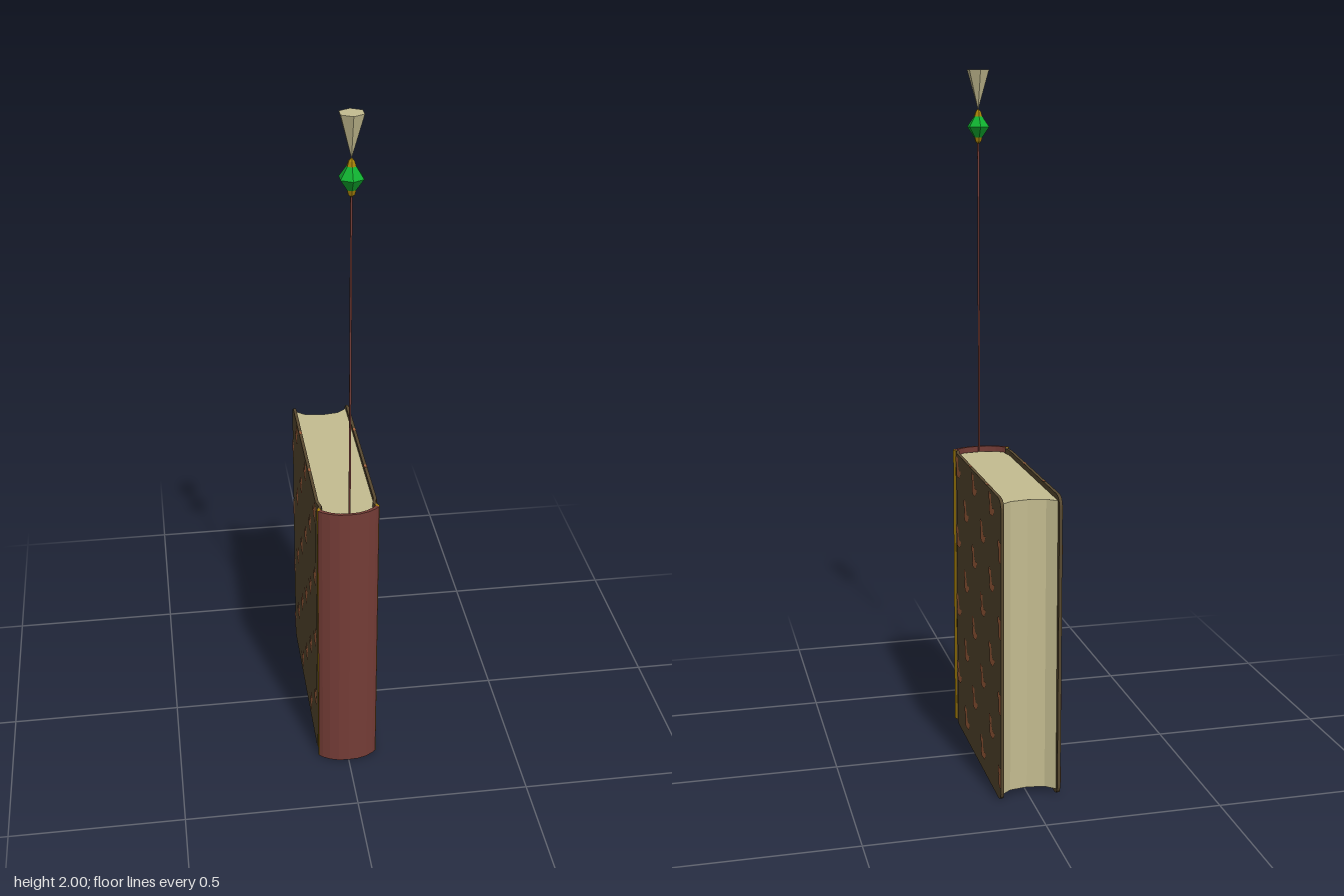
import * as THREE from 'three';
import { mergeGeometries } from 'three/addons/utils/BufferGeometryUtils.js';

const HEIGHT = 0.87, INNER = 0.077, OUTER = 0.086, BACK = -0.338, HINGE = 0.232;

function material(name, color, side = THREE.FrontSide) {
  const m = new THREE.MeshStandardMaterial({ color, side });
  m.name = name;
  return m;
}

// Outline in [x, z], extruded upwards from y0 to y1
function prism(points, y0, y1) {
  const shape = new THREE.Shape(points.map(([x, z]) => new THREE.Vector2(x, -z)));
  return new THREE.ExtrudeGeometry(shape, { depth: y1 - y0, bevelEnabled: false })
    .rotateX(-Math.PI / 2).translate(0, y0, 0);
}

// Faceted six-sided turned piece around the bookmark line
function turned(profile) {
  const g = new THREE.LatheGeometry(profile.map(([r, y]) => new THREE.Vector2(r, y)), 6).toNonIndexed();
  g.computeVertexNormals();
  return g.translate(0, 0, 0.301);
}

export function createModel() {
  const group = new THREE.Group();
  const cloth = material('brown cloth', 0x57482f);
  const print = material('orange print', 0xa4623e, THREE.DoubleSide);
  const leather = material('red leather', 0x743c36);
  const gold = material('gold', 0xa88208);
  const paper = material('cream paper', 0xc4bc90);
  const green = material('green gem', 0x10b030);

  function add(name, geometry, mat, parent = group) {
    const mesh = new THREE.Mesh(geometry, mat);
    mesh.name = name;
    parent.add(mesh);
    return mesh;
  }

  // Page block: rounded at the spine, hollow at the fore edge
  add('pages', prism([
    [-INNER, -0.322], [-0.05, -0.3], [0, -0.292], [0.05, -0.3], [INNER, -0.322],
    [INNER, 0.235], [0.07, 0.255], [0.075, 0.268], [0.05, 0.289], [0, 0.297],
    [-0.05, 0.289], [-0.075, 0.268], [-0.07, 0.255], [-INNER, 0.235],
  ], 0.015, HEIGHT - 0.015), paper);

  // Curved spine
  const outer = [[-0.086, 0.28], [-0.075, 0.29], [-0.055, 0.302], [-0.029, 0.31], [0, 0.312],
    [0.029, 0.31], [0.055, 0.302], [0.075, 0.29], [0.086, 0.28]];
  const inner = outer.map(([x, z]) => [x * 0.91, z - 0.008]).reverse();
  add('spine', prism([...outer, ...inner], 0, HEIGHT), leather);

  // Printed motif, u towards the fore edge and v up
  const motif = [[-0.034, 0.026], [-0.025, 0.034], [-0.018, 0.028], [-0.004, 0.03], [0, 0.006],
    [0.012, -0.008], [0.036, -0.004], [0.034, -0.014], [0.016, -0.03], [-0.018, -0.032],
    [-0.026, -0.022], [-0.022, 0.004], [-0.034, 0.012]];

  for (const s of [1, -1]) {
    const cover = new THREE.Group();
    cover.name = s > 0 ? 'leftCover' : 'rightCover';
    group.add(cover);
    const toSide = (g, x) => g.rotateY(s * Math.PI / 2).translate(s * x, 0, 0);

    // Board with rounded fore-edge corners
    const r = 0.035, b = -BACK;
    const board = new THREE.Shape();
    board.moveTo(-HINGE * s, 0);
    board.lineTo((b - r) * s, 0);
    board.quadraticCurveTo(b * s, 0, b * s, r);
    board.lineTo(b * s, HEIGHT - r);
    board.quadraticCurveTo(b * s, HEIGHT, (b - r) * s, HEIGHT);
    board.lineTo(-HINGE * s, HEIGHT);
    add('board', toSide(new THREE.ExtrudeGeometry(board,
      { depth: OUTER - INNER, bevelEnabled: false, curveSegments: 6 }), INNER), cloth, cover);

    // Hinge groove and gold edging
    add('hinge', prism([[INNER, HINGE], [OUTER, HINGE], [0.08, 0.256], [0.084, 0.267],
      [0.076, 0.27], [0.071, 0.256]].map(([x, z]) => [s * x, z]), 0, HEIGHT), cloth, cover);
    add('edging', prism([[0.0825, 0.262], [0.0875, 0.274], [0.086, 0.281], [0.08, 0.28],
      [0.0755, 0.27]].map(([x, z]) => [s * x, z]), 0, HEIGHT), gold, cover);

    // Staggered rows of motifs, cut off at the fore edge
    const motifs = [];
    for (let row = 0; row < 8; row++) {
      for (let col = 0; col < 3; col++) {
        const u = -0.206 + col * 0.2175 + (row % 2) * 0.109;
        const v = 0.831 - row * 0.1088;
        const shape = new THREE.Shape(motif.map(([a, c]) =>
          new THREE.Vector2(s * Math.min(u + a, b - 0.0005 - a * 0.0001), v + c)));
        motifs.push(toSide(new THREE.ShapeGeometry(shape), OUTER + 0.001));
      }
    }
    add('motifs', mergeGeometries(motifs), print, cover);

    // Print wrapping over the top edge
    for (const z of [-0.16, 0.058]) {
      const g = new THREE.BoxGeometry(0.008, 0.001, 0.014);
      add('edgePrint', g.translate(s * 0.0815, HEIGHT + 0.0005, z), print, cover);
    }
  }

  // Bookmark: cord, gem with gold caps and flared end
  const bookmark = new THREE.Group();
  bookmark.name = 'bookmark';
  group.add(bookmark);
  add('cord', new THREE.BoxGeometry(0.005, 1.0, 0.005).translate(0, 1.3, 0.301), leather, bookmark);
  add('gem', turned([[0, 1.8], [0.011, 1.803], [0.034, 1.836], [0.011, 1.869], [0, 1.872]]), green, bookmark);
  add('lowerCap', turned([[0, 1.785], [0.009, 1.793], [0.013, 1.806], [0, 1.806]]), gold, bookmark);
  add('upperCap', turned([[0, 1.866], [0.013, 1.866], [0.009, 1.879], [0, 1.888]]), gold, bookmark);
  add('flare', turned([[0, 1.885], [0.034, 2], [0, 2]]), paper, bookmark);

  return group;
}
